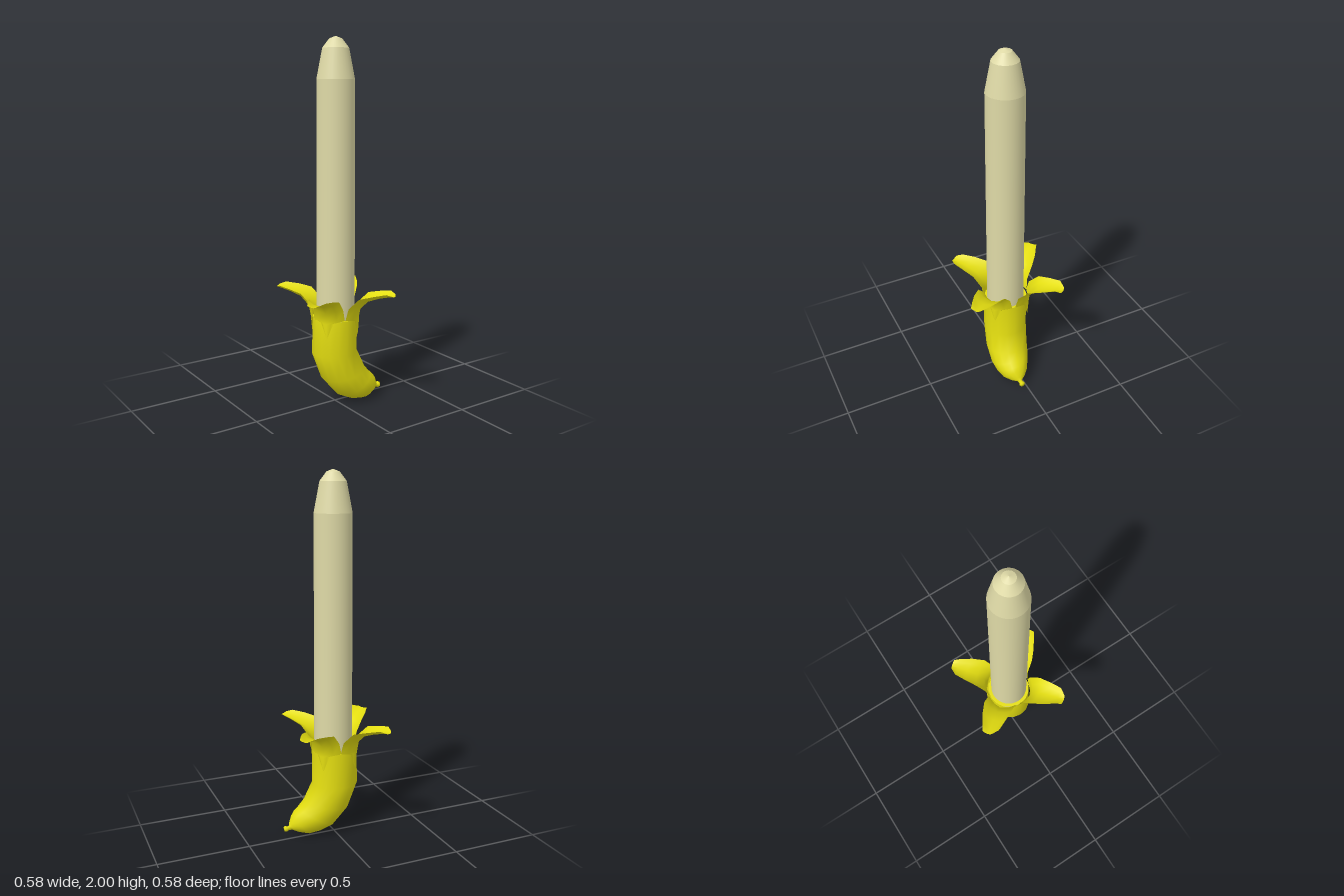
import * as THREE from 'three';

const peelMaterial = new THREE.MeshStandardMaterial({ color: 0xe4de10, side: THREE.DoubleSide });
const bladeMaterial = new THREE.MeshStandardMaterial({ color: 0xded9a6 });

// Skins a list of equally long point rows into one smooth surface
function skin(rows, closed) {
  const n = rows[0].length, index = [];
  for (let i = 0; i < rows.length - 1; i++) {
    for (let j = 0; j < (closed ? n : n - 1); j++) {
      const k = (j + 1) % n;
      const a = i * n + j, b = i * n + k, c = a + n, d = b + n;
      index.push(a, b, c, b, d, c);
    }
  }
  const g = new THREE.BufferGeometry();
  g.setAttribute('position', new THREE.Float32BufferAttribute(rows.flat(2), 3));
  g.setIndex(index);
  g.computeVertexNormals();
  return g;
}

function addMesh(parent, name, geometry, material) {
  const mesh = new THREE.Mesh(geometry, material);
  mesh.name = name;
  parent.add(mesh);
  return mesh;
}

// Blade: stacked tapering sections with crisp edges between them
function makeBlade() {
  const blade = new THREE.Group();
  blade.name = 'blade';
  blade.position.set(0, 0, 0.008);
  const profile = [[0.105, 0.42], [0.101, 1.78], [0.07, 1.94], [0.034, 1.987], [0, 2]];
  for (let i = 0; i < profile.length - 1; i++) {
    const [r0, y0] = profile[i], [r1, y1] = profile[i + 1];
    const section = addMesh(blade, 'bladeSection',
      new THREE.CylinderGeometry(r1, r0, y1 - y0, 32, 1, true), bladeMaterial);
    section.position.y = (y0 + y1) / 2;
  }
  return blade;
}

// Handle: rings given by outer point, inner point, z centre and z radius
function makeHandle() {
  const rings = [
    [-0.126, 0.5, 0.12, 0.5, 0.005, 0.122],
    [-0.136, 0.3, 0.12, 0.3, 0.007, 0.122],
    [-0.085, 0.15, 0.165, 0.2, 0.02, 0.118],
    [0, 0.05, 0.2, 0.157, 0.028, 0.108],
    [0.07, 0.017, 0.222, 0.137, 0.034, 0.092],
    [0.14, 0.005, 0.238, 0.112, 0.036, 0.072],
    [0.2, 0.02, 0.252, 0.08, 0.036, 0.04],
    [0.24, 0.038, 0.256, 0.064, 0.036, 0.014],
    [0.264, 0.038, 0.268, 0.06, 0.036, 0.011],
    [0.27, 0.032, 0.276, 0.066, 0.036, 0.017],
    [0.282, 0.034, 0.285, 0.062, 0.036, 0.014],
    [0.286, 0.048, 0.286, 0.048, 0.036, 0],
  ];
  const sides = 16;
  const rows = rings.map(([x0, y0, x1, y1, z, rz]) =>
    Array.from({ length: sides }, (_, j) => {
      const a = (j / sides) * Math.PI * 2, t = (1 - Math.cos(a)) / 2;
      return [x0 + (x1 - x0) * t, y0 + (y1 - y0) * t, z + rz * Math.sin(a)];
    }));
  return skin(rows, true);
}

// Petal: rows of centre radius, centre height, edge radius, edge height,
// and the two half widths; it grows along +x
function makePetal() {
  const sections = [
    [0.133, 0.41, 0.133, 0.412, 0.003, 0.003],
    [0.137, 0.49, 0.127, 0.495, 0.035, 0.035],
    [0.138, 0.505, 0.092, 0.505, 0.088, 0.088],
    [0.148, 0.555, 0.108, 0.57, 0.083, 0.083],
    [0.19, 0.598, 0.168, 0.63, 0.08, 0.086],
    [0.25, 0.62, 0.24, 0.647, 0.068, 0.07],
    [0.305, 0.633, 0.305, 0.658, 0.054, 0.046],
    [0.343, 0.64, 0.338, 0.647, 0.022, 0.034],
  ];
  const rows = sections.map(([rc, yc, re, ye, w0, w1]) =>
    [-1, -0.6, 0, 0.6, 1].map((t) => {
      const k = t * t;
      return [rc + (re - rc) * k, yc + (ye - yc) * k, t * (t < 0 ? w0 : w1)];
    }));
  return skin(rows, false);
}

export function createModel() {
  const model = new THREE.Group();
  model.name = 'peeledFruitSword';
  model.add(makeBlade());
  addMesh(model, 'handle', makeHandle(), peelMaterial);

  // Flat rim between handle and blade
  const rim = addMesh(model, 'rim', new THREE.RingGeometry(0.08, 0.122, 16), peelMaterial);
  rim.rotation.x = -Math.PI / 2;
  rim.position.set(-0.003, 0.5, 0.005);

  // Four peel flaps folded outward
  const petalGeometry = makePetal();
  for (const angle of [41.5, 127, 217, 306]) {
    const petal = addMesh(model, 'petal', petalGeometry, peelMaterial);
    petal.rotation.y = THREE.MathUtils.degToRad(angle);
    petal.position.set(-0.002, 0, 0.003);
  }
  return model;
}
